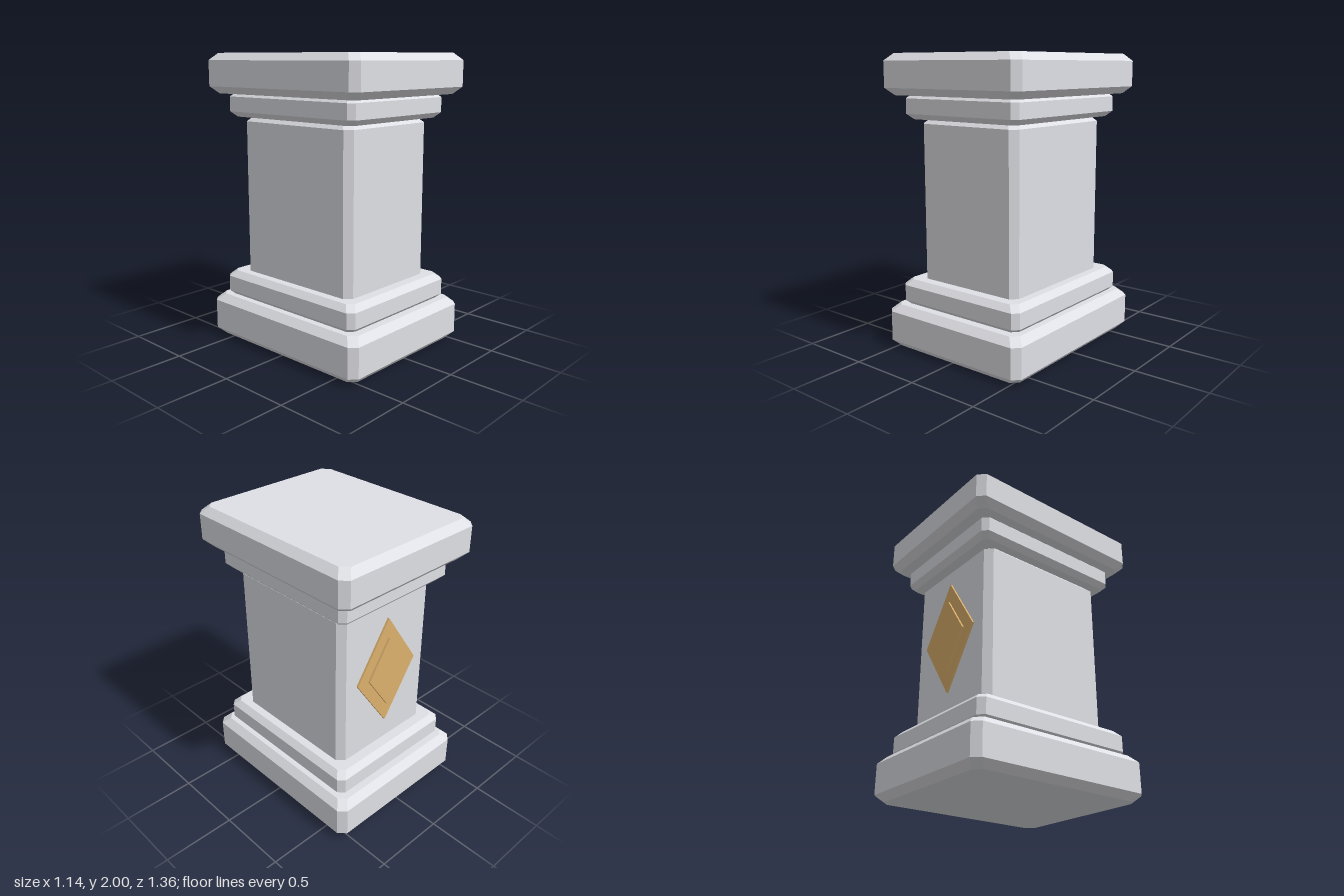
import * as THREE from 'three';

// Box with every edge and corner chamfered by c, lofted from four octagonal sections
function chamferedBox(hx, hz, y0, y1, c) {
  const section = (x, z, y) => [
    [x, y, z - c], [x - c, y, z], [c - x, y, z], [-x, y, z - c],
    [-x, y, c - z], [c - x, y, -z], [x - c, y, -z], [x, y, c - z],
  ];
  const rings = [
    section(hx - c, hz - c, y0), section(hx, hz, y0 + c),
    section(hx, hz, y1 - c), section(hx - c, hz - c, y1),
  ];
  const pos = [];
  const tri = (a, b, d) => pos.push(...a, ...b, ...d);
  for (let r = 0; r < 3; r++) {
    for (let i = 0; i < 8; i++) {
      const j = (i + 1) % 8;
      const a = rings[r][i], b = rings[r][j], d = rings[r + 1][j], e = rings[r + 1][i];
      tri(a, d, b);
      tri(a, e, d);
    }
  }
  // bottom and top faces
  for (let i = 1; i < 7; i++) {
    tri(rings[0][0], rings[0][i], rings[0][i + 1]);
    tri(rings[3][0], rings[3][i + 1], rings[3][i]);
  }
  const geo = new THREE.BufferGeometry();
  geo.setAttribute('position', new THREE.Float32BufferAttribute(pos, 3));
  geo.computeVertexNormals();
  return geo;
}

// Upright diamond plate
function diamond(w, h, depth) {
  const shape = new THREE.Shape([
    new THREE.Vector2(w, 0), new THREE.Vector2(0, h),
    new THREE.Vector2(-w, 0), new THREE.Vector2(0, -h),
  ]);
  return new THREE.ExtrudeGeometry(shape, { depth, bevelEnabled: false });
}

export function createModel() {
  const stone = new THREE.MeshStandardMaterial({ color: 0xdfe0e5 });
  stone.name = 'stone';
  const gold = new THREE.MeshStandardMaterial({ color: 0xdcb06d });
  gold.name = 'gold';

  const model = new THREE.Group();
  model.name = 'pedestal';
  const add = (name, geo, mat) => {
    const mesh = new THREE.Mesh(geo, mat);
    mesh.name = name;
    model.add(mesh);
    return mesh;
  };

  // Stone blocks: name, half width, half depth, bottom, top, chamfer
  const blocks = [
    ['base', 0.57, 0.68, 0, 0.302, 0.048],
    ['baseStep', 0.502, 0.6, 0.288, 0.475, 0.04],
    ['shaft', 0.405, 0.49, 0.4, 1.587, 0.046],
    ['capMoulding', 0.474, 0.571, 1.572, 1.745, 0.036],
    ['cap', 0.57, 0.68, 1.73, 2, 0.048],
  ];
  for (const [name, ...size] of blocks) add(name, chamferedBox(...size), stone);

  // Two stacked diamond plates on the back of the shaft
  add('diamondPlate', diamond(0.267, 0.4, 0.02), gold).position.set(0, 1.035, -0.504);
  add('diamondInset', diamond(0.174, 0.26, 0.02), gold).position.set(0, 1.035, -0.518);
  return model;
}
